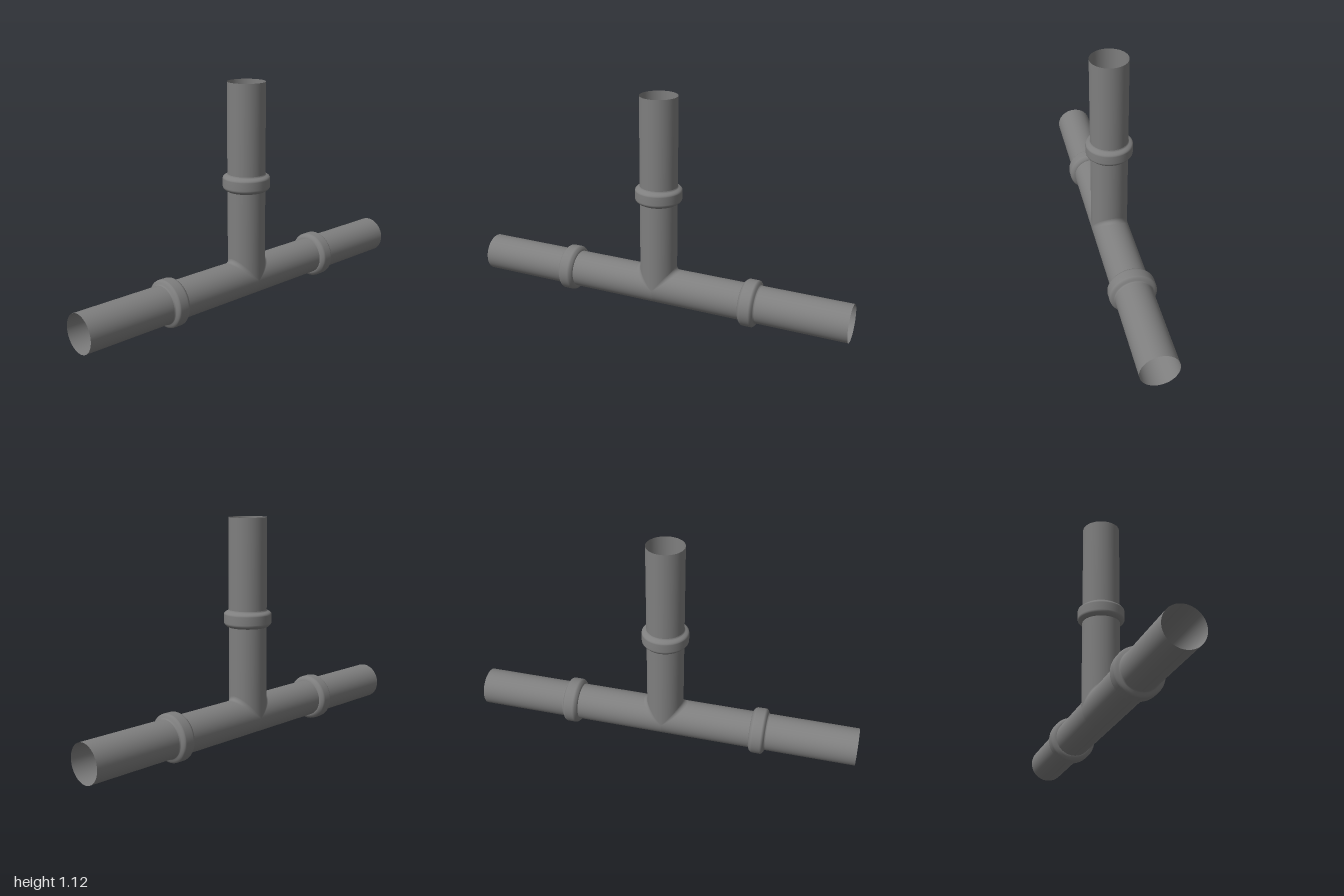
import * as THREE from 'three';

const R = 0.0945;      // pipe radius
const AXIS_Y = 0.118;  // height of the horizontal pipe axis
const FILLET = 0.02;   // rounding where the branch meets the run
const SEG = 64;

const material = new THREE.MeshStandardMaterial({ color: 0x7f7f7f, side: THREE.DoubleSide });

// Smooth surface from rows of points; closed surfaces share their seam vertices
function gridSurface(name, columns, rows, closed, point) {
  const positions = [], index = [];
  const stride = closed ? columns : columns + 1;
  for (let j = 0; j <= rows; j++) {
    for (let i = 0; i < stride; i++) positions.push(...point(i / columns, j / rows));
  }
  for (let j = 0; j < rows; j++) {
    for (let i = 0; i < columns; i++) {
      const k = (i + 1) % stride;
      const a = j * stride + i, b = j * stride + k;
      const c = a + stride, d = b + stride;
      index.push(a, c, b, b, c, d);
    }
  }
  const geometry = new THREE.BufferGeometry();
  geometry.setAttribute('position', new THREE.Float32BufferAttribute(positions, 3));
  geometry.setIndex(index);
  geometry.computeVertexNormals();
  const mesh = new THREE.Mesh(geometry, material);
  mesh.name = name;
  return mesh;
}

// Raised joint ring, centred half way along an arm: bevelled inward, flared outward
function collar(name) {
  const profile = [
    [R, -0.041], [0.1, -0.04], [0.107, -0.036], [0.114, -0.029], [0.117, -0.024], [0.118, -0.018],
    [0.118, 0.022], [0.117, 0.027], [0.113, 0.032], [0.106, 0.036], [0.099, 0.039],
    [0.096, 0.041], [R, 0.046],
  ].map(([x, y]) => new THREE.Vector2(x, y));
  const mesh = new THREE.Mesh(new THREE.LatheGeometry(profile, SEG), material);
  mesh.name = name;
  return mesh;
}

// Half of the horizontal run, cut away at the top where the branch enters
function runArm(name) {
  const arm = new THREE.Group();
  arm.name = name;
  arm.add(gridSurface('runPipe', SEG, 1, true, (u, v) => {
    const a = u * Math.PI * 2;
    const start = Math.max(0, Math.cos(a)) * (R + FILLET);
    return [R * Math.sin(a), R * Math.cos(a), start + (1 - start) * v];
  }));

  // Rounded corner between run and branch, fading out towards the sides
  arm.add(gridSurface('jointFillet', SEG / 2, 6, false, (u, v) => {
    const a = (u - 0.5) * Math.PI, phi = v * Math.PI / 2;
    const c = Math.max(0, Math.cos(a));
    return [
      R * Math.sin(a),
      c * (R + FILLET * (1 - Math.sin(phi))),
      c * (R + FILLET * (1 - Math.cos(phi))),
    ];
  }));

  const ring = collar('runCollar');
  ring.rotation.x = Math.PI / 2;
  ring.position.z = 0.5;
  arm.add(ring);
  return arm;
}

export function createModel() {
  const model = new THREE.Group();
  model.name = 'pipeTee';

  const front = runArm('frontArm');
  const back = runArm('backArm');
  back.rotation.y = Math.PI;

  // Upright branch with a saddle-shaped lower end
  const branch = new THREE.Group();
  branch.name = 'branchArm';
  branch.add(gridSurface('branchPipe', SEG, 1, true, (u, v) => {
    const a = u * Math.PI * 2;
    const start = Math.abs(Math.cos(a)) * (R + FILLET);
    return [-R * Math.sin(a), start + (1 - start) * v, R * Math.cos(a)];
  }));
  const ring = collar('branchCollar');
  ring.position.y = 0.5;
  branch.add(ring);

  for (const arm of [front, back, branch]) {
    arm.position.y = AXIS_Y;
    model.add(arm);
  }
  return model;
}
